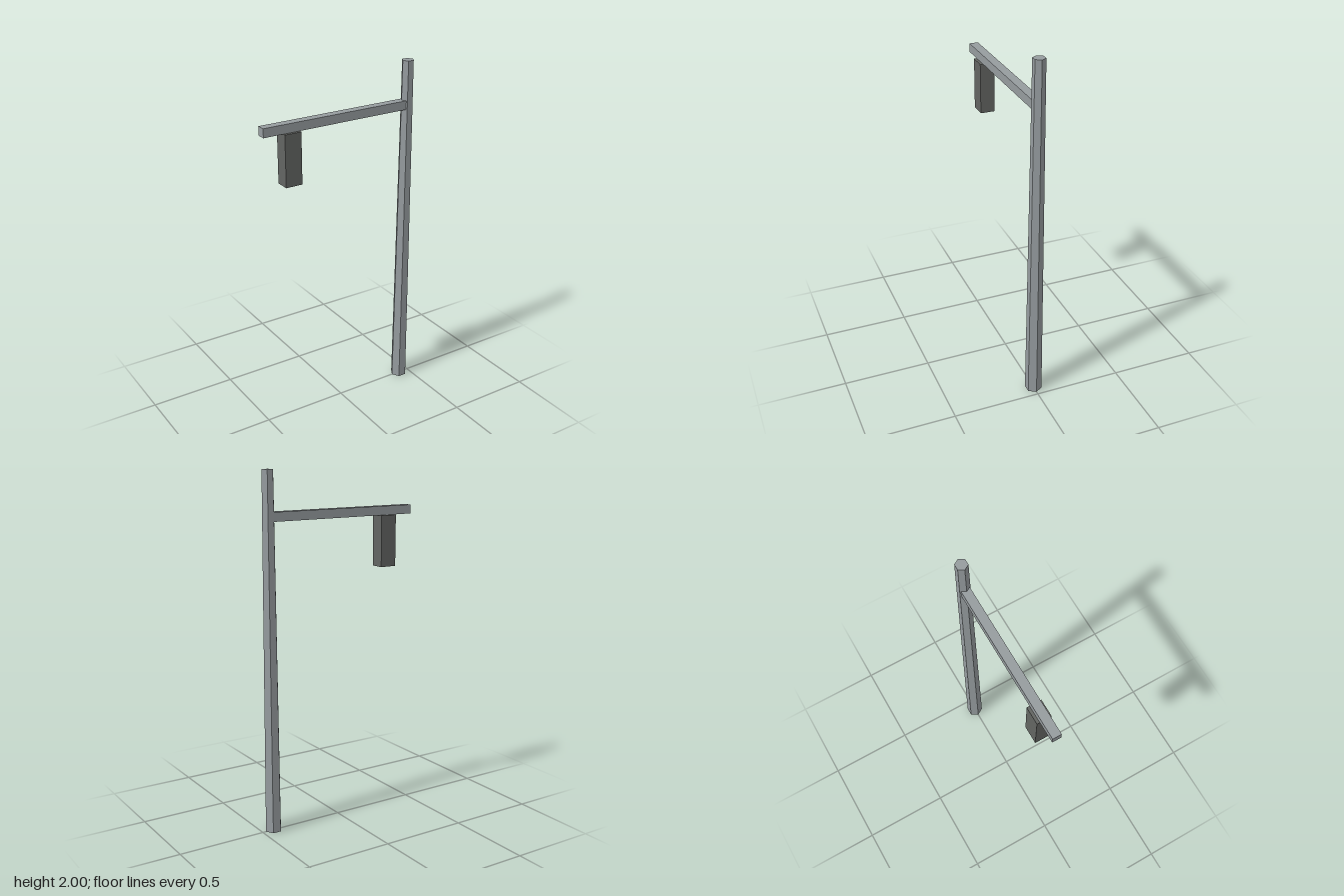
import * as THREE from 'three';

export function createModel() {
  const group = new THREE.Group();
  const steel = new THREE.MeshStandardMaterial({ color: 0x969c9f, flatShading: true });
  const dark = new THREE.MeshStandardMaterial({ color: 0x636562, flatShading: true });

  const add = (name, geometry, material, x, y) => {
    const mesh = new THREE.Mesh(geometry, material);
    mesh.name = name;
    mesh.position.set(x, y, 0);
    group.add(mesh);
  };

  // Tapered six-sided pole with corners pointing along x
  const poleX = 0.432;
  add('pole', new THREE.CylinderGeometry(0.034, 0.048, 2, 6, 1, false, Math.PI / 6), steel, poleX, 1);

  // Arm reaching from the pole's axis out to the right
  const armEnd = -0.48;
  add('arm', new THREE.BoxGeometry(poleX - armEnd, 0.05, 0.05), steel, (poleX + armEnd) / 2, 1.755);

  // Box hanging under the arm
  add('hangingBox', new THREE.BoxGeometry(0.098, 0.29, 0.082), dark, -0.316, 1.585);

  return group;
}
